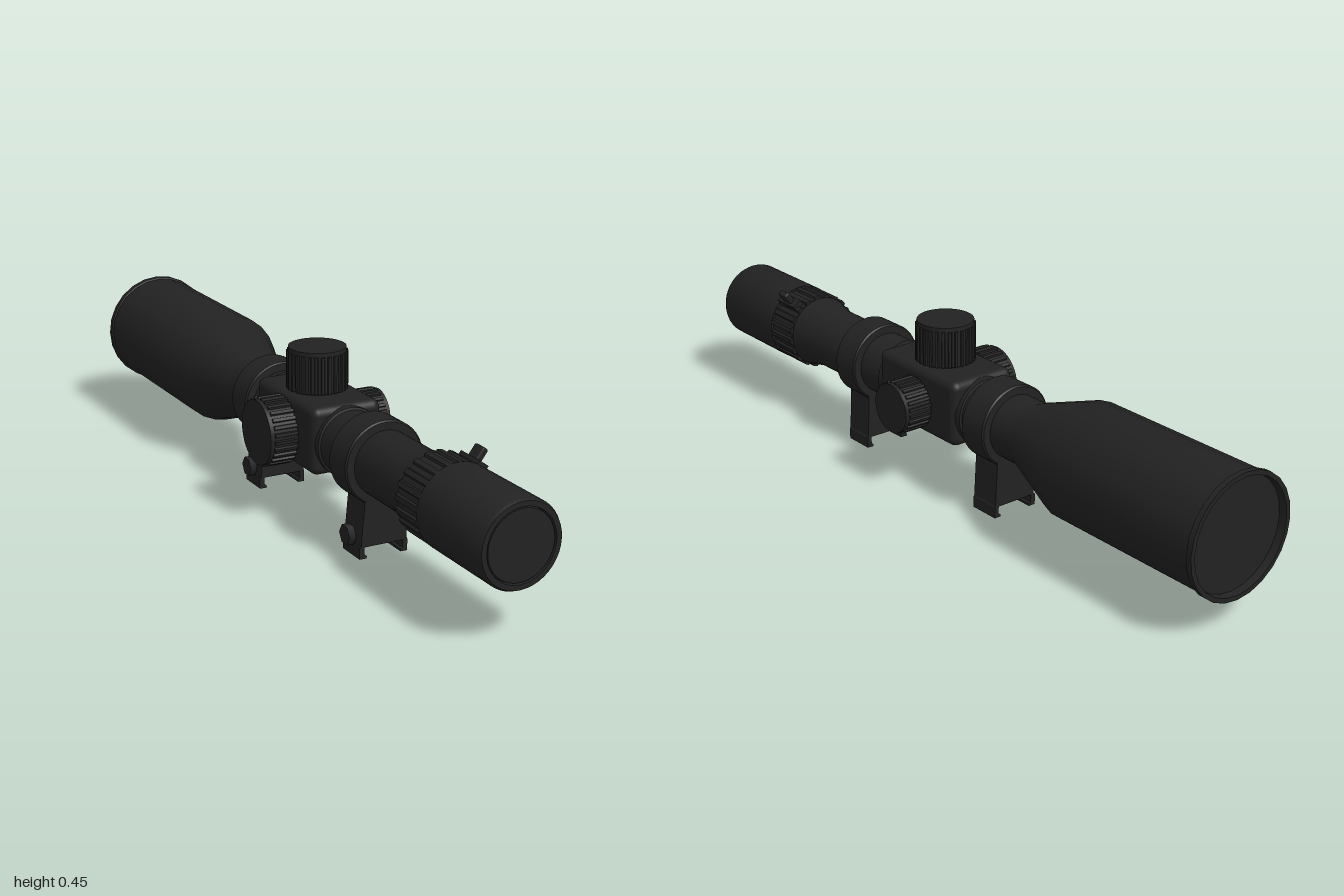
import * as THREE from 'three';
import { toCreasedNormals } from 'three/addons/utils/BufferGeometryUtils.js';
import { RoundedBoxGeometry } from 'three/addons/geometries/RoundedBoxGeometry.js';

const AXIS_X = -0.004, AXIS_Y = 0.24, TURRET_Z = 0.06;

export function createModel() {
  const black = new THREE.MeshStandardMaterial({ color: 0x222222 });
  black.name = 'matte black';
  const model = new THREE.Group();
  model.name = 'rifleScope';

  const add = (name, geometry, parent = model) => {
    const mesh = new THREE.Mesh(geometry, black);
    mesh.name = name;
    parent.add(mesh);
    return mesh;
  };

  // Turned part along z from [radius, z] pairs, listed back to front
  const turned = (name, profile, sides) => {
    const points = profile.map(([r, z]) => new THREE.Vector2(r, z));
    const geometry = new THREE.LatheGeometry(points, sides).rotateX(Math.PI / 2);
    const mesh = add(name, toCreasedNormals(geometry, 0.5));
    mesh.position.set(AXIS_X, AXIS_Y, 0);
    return mesh;
  };

  // Ridged disc along z, starting at z = 0
  const ridged = (outer, inner, depth, count) => {
    const shape = new THREE.Shape();
    for (let i = 0; i < count; i++) {
      [[0, inner], [0.4, inner], [0.5, outer], [0.9, outer]].forEach(([t, r], k) => {
        const a = ((i + t) / count) * Math.PI * 2;
        const x = Math.cos(a) * r, y = Math.sin(a) * r;
        if (i + k === 0) shape.moveTo(x, y);
        else shape.lineTo(x, y);
      });
    }
    shape.closePath();
    return new THREE.ExtrudeGeometry(shape, { depth, bevelEnabled: false });
  };

  // Objective bell with a rim and a recessed lens
  turned('objectiveBell', [
    [0, -0.98], [0.145, -0.98], [0.147, -1], [0.159, -1], [0.159, -0.985],
    [0.154, -0.983], [0.154, -0.49], [0.085, -0.3], [0.085, -0.2],
  ], 24);

  // Main tube flaring into the eyepiece
  turned('mainTube', [[0.085, -0.3], [0.085, 0.57], [0.099, 0.64], [0.099, 0.75]], 40);
  turned('eyepiece', [
    [0.098, 0.74], [0.108, 0.74], [0.108, 0.99], [0.103, 1], [0.09, 1],
    [0.088, 0.99], [0.086, 0.998], [0, 0.998],
  ], 40);

  // Magnification ring with its lever
  const zoomRing = add('magnificationRing', ridged(0.107, 0.101, 0.1, 20));
  zoomRing.position.set(AXIS_X, AXIS_Y, 0.642);
  const lever = new THREE.Group();
  lever.name = 'magnificationLever';
  lever.position.set(AXIS_X, AXIS_Y, 0.7);
  lever.rotation.z = -0.64;
  model.add(lever);
  add('leverBase', new THREE.BoxGeometry(0.03, 0.02, 0.08), lever).position.y = 0.106;
  add('leverFin', new RoundedBoxGeometry(0.018, 0.05, 0.038, 2, 0.005), lever).position.y = 0.123;

  // Turret housing and its end collars
  add('turretHousing', new RoundedBoxGeometry(0.196, 0.178, 0.325, 4, 0.022))
    .position.set(AXIS_X, 0.246, 0.063);
  turned('housingCollars', [[0.085, -0.115], [0.091, -0.113], [0.091, 0.238], [0.085, 0.24]], 40);

  // Turret knobs: neck, ridged grip and plain cap, built along z
  const knob = (name, radius, start, end, count) => {
    const group = new THREE.Group();
    group.name = name;
    const disc = (part, r, from, to) =>
      add(part, new THREE.CylinderGeometry(r, r, to - from, 36).rotateX(Math.PI / 2), group)
        .position.z = (from + to) / 2;
    disc('neck', radius * 0.88, 0.07, start + 0.01);
    add('grip', ridged(radius, radius * 0.94, end - start - 0.011, count), group).position.z = start;
    disc('cap', radius * 0.94, end - 0.02, end);
    model.add(group);
    group.position.set(AXIS_X, AXIS_Y, TURRET_Z);
    return group;
  };
  knob('elevationTurret', 0.08, 0.098, 0.207, 28).rotation.x = -Math.PI / 2;
  knob('windageTurret', 0.071, 0.102, 0.181, 24).rotation.y = Math.PI / 2;
  knob('focusTurret', 0.091, 0.1, 0.175, 28).rotation.y = -Math.PI / 2;

  // Mount foot outline, with two hooked rail jaws
  const foot = new THREE.Shape([
    [-0.057, 0.16], [-0.068, 0.031], [-0.072, 0.03], [-0.072, 0], [-0.052, 0],
    [-0.052, 0.006], [-0.058, 0.01], [-0.058, 0.03], [0.05, 0.03], [0.05, 0.01],
    [0.044, 0.006], [0.044, 0], [0.063, 0], [0.063, 0.03], [0.061, 0.035], [0.055, 0.16],
  ].map(([x, y]) => new THREE.Vector2(x, y)));

  for (const [name, z] of [['frontMount', 0.37], ['rearMount', -0.185]]) {
    const w = 0.043;
    turned(name + 'Ring', [
      [0.084, z - w], [0.105, z - w], [0.109, z - w + 0.004],
      [0.109, z + w - 0.004], [0.105, z + w], [0.084, z + w],
    ], 40);
    add(name + 'Foot', new THREE.ExtrudeGeometry(foot, { depth: 2 * w, bevelEnabled: false }))
      .position.z = z - w;
    // Clamp nut and bolt
    add(name + 'Nut', new THREE.CylinderGeometry(0.027, 0.027, 0.019, 6).rotateZ(Math.PI / 2))
      .position.set(-0.082, 0.054, z);
    add(name + 'Bolt', new THREE.CylinderGeometry(0.012, 0.012, 0.03, 16).rotateZ(Math.PI / 2))
      .position.set(-0.07, 0.054, z);
  }

  return model;
}
